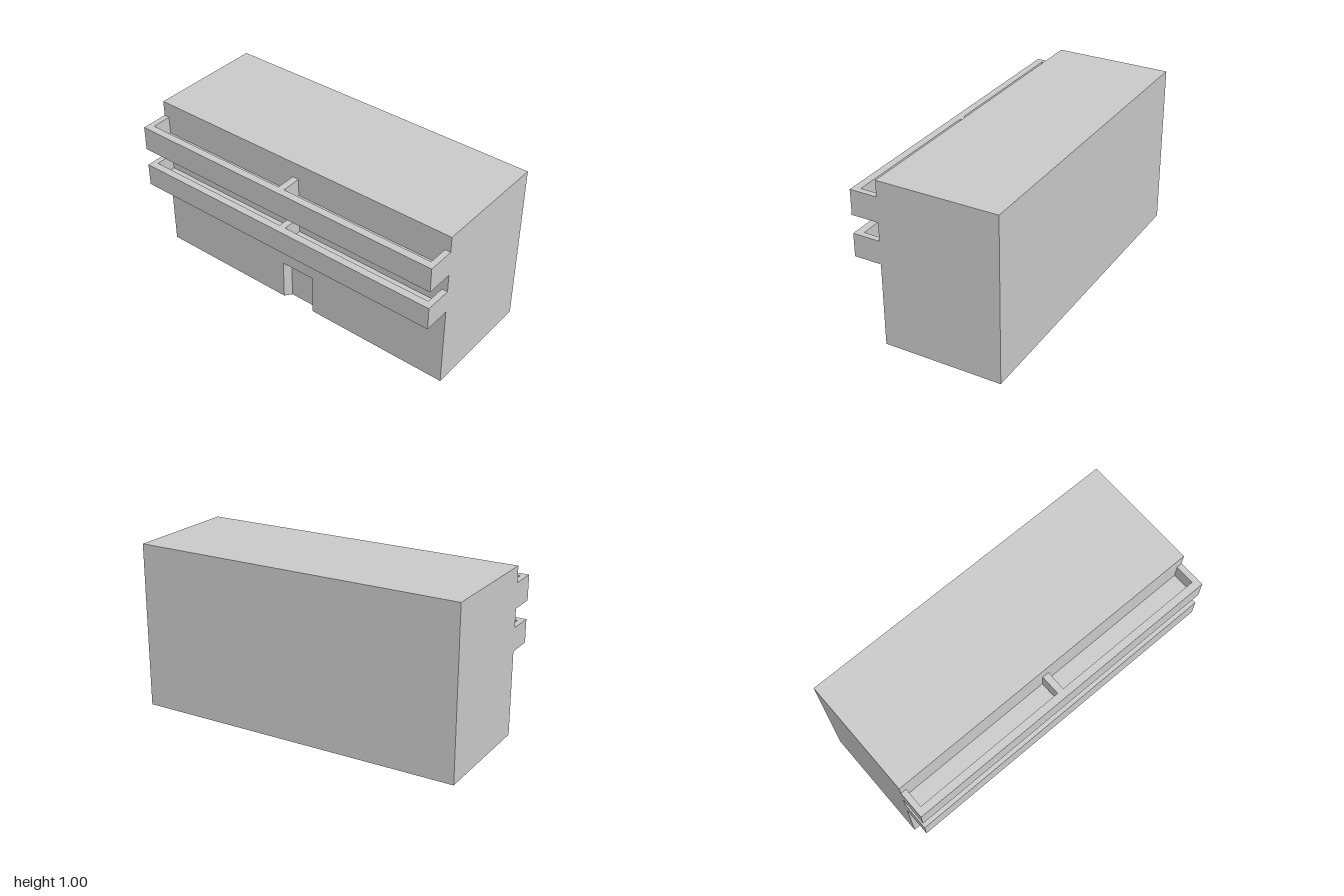
import * as THREE from 'three';

const X0 = -0.275, X1 = 0.44;            // main block, balcony side and plain side
const XB = -0.44, XP = -0.395;           // balcony outer face, pocket outer face
const POCKETS = [[-0.965, -0.025], [0.015, 0.965]]; // z ranges
const BALCONIES = [                      // underside, pocket floor, rim
  { base: 0.505, floor: 0.547, rim: 0.645 },
  { base: 0.755, floor: 0.797, rim: 0.905 },
];
const X = [1, 0, 0], Y = [0, 1, 0], Z = [0, 0, 1], NX = [-1, 0, 0];

const material = new THREE.MeshStandardMaterial({ color: 0xcccccc, flatShading: true, side: THREE.DoubleSide });

// Flat panel from a 2D outline, laid along axes u and v, offset along u x v
function panel(parent, name, points, u, v, offset) {
  const shape = new THREE.Shape(points.map(([a, b]) => new THREE.Vector2(a, b)));
  const U = new THREE.Vector3(...u), V = new THREE.Vector3(...v);
  const N = U.clone().cross(V);
  const geometry = new THREE.ShapeGeometry(shape);
  geometry.applyMatrix4(new THREE.Matrix4().makeBasis(U, V, N).setPosition(N.multiplyScalar(offset)));
  const mesh = new THREE.Mesh(geometry, material);
  mesh.name = name;
  parent.add(mesh);
}

const rect = (a0, b0, a1, b1) => [[a0, b0], [a1, b0], [a1, b1], [a0, b1]];

// Full-length strip whose inner edge steps to another level at each pocket
function comb(end, edge, step) {
  const points = [[-1, end], [-1, edge]];
  for (const [a, b] of POCKETS) points.push([a, edge], [a, step], [b, step], [b, edge]);
  points.push([1, edge], [1, end]);
  return points;
}

// Four-cornered face, corners counter-clockwise from its front
function quad(parent, name, corners) {
  const geometry = new THREE.BufferGeometry();
  geometry.setAttribute('position', new THREE.Float32BufferAttribute(corners.flat(), 3));
  geometry.setIndex([0, 1, 2, 0, 2, 3]);
  geometry.computeVertexNormals();
  const mesh = new THREE.Mesh(geometry, material);
  mesh.name = name;
  parent.add(mesh);
}

function addGroup(parent, name) {
  const group = new THREE.Group();
  group.name = name;
  parent.add(group);
  return group;
}

export function createModel() {
  const model = new THREE.Group();
  model.name = 'building';

  // Hollow main block, open underneath
  const block = addGroup(model, 'mainBlock');
  panel(block, 'roof', rect(-1, X0, 1, X1), Z, X, 1);
  panel(block, 'plainWall', rect(-1, 0, 1, 1), [0, 0, -1], Y, X1);

  // End walls follow the stepped balcony profile
  const profile = [[X1, 0], [X1, 1], [X0, 1]];
  for (const b of [...BALCONIES].reverse()) {
    profile.push([X0, b.rim], [XB, b.rim], [XB, b.base], [X0, b.base]);
  }
  profile.push([X0, 0]);
  panel(block, 'frontEndWall', profile, X, Y, 1);
  panel(block, 'backEndWall', profile.map(([x, y]) => [-x, y]), NX, Y, 1);

  // Balcony-side wall: lower part with a door notch, then a strip above each balcony
  const [d0, d1, dh] = [-0.113, 0.104, 0.25];
  panel(block, 'entranceWall', [[-1, 0], [d0, 0], [d0, dh], [d1, dh], [d1, 0], [1, 0],
    [1, BALCONIES[0].base], [-1, BALCONIES[0].base]], Z, Y, -X0);
  BALCONIES.forEach((b, i) => {
    const top = i + 1 < BALCONIES.length ? BALCONIES[i + 1].base : 1;
    panel(block, 'balconyWall', comb(top, b.rim, b.floor), Z, Y, -X0);
  });

  // Doorway with splayed sides narrowing to the recessed door
  const door = addGroup(model, 'doorway');
  const s = 0.03, xd = X0 + 0.04;
  const [e0, e1, eh] = [d0 + s, d1 - s, dh - s];
  panel(door, 'door', rect(e0, 0, e1, eh), Z, Y, -xd);
  quad(door, 'doorJamb', [[X0, 0, d0], [xd, 0, e0], [xd, eh, e0], [X0, dh, d0]]);
  quad(door, 'doorJamb', [[xd, 0, e1], [X0, 0, d1], [X0, dh, d1], [xd, eh, e1]]);
  quad(door, 'doorHead', [[X0, dh, d0], [xd, eh, e0], [xd, eh, e1], [X0, dh, d1]]);

  // Balconies: hollow trays, each with two pockets
  for (const { base, floor, rim } of BALCONIES) {
    const balcony = addGroup(model, 'balcony');
    panel(balcony, 'underside', rect(XB, -1, X0, 1), X, Z, -base);
    panel(balcony, 'parapet', rect(-1, base, 1, rim), Z, Y, -XB);
    panel(balcony, 'rim', comb(XB, X0, XP), Z, X, rim);
    for (const [a, b] of POCKETS) {
      panel(balcony, 'balconyFloor', rect(a, XP, b, X0), Z, X, floor);
      panel(balcony, 'parapetInside', rect(-b, floor, -a, rim), [0, 0, -1], Y, XP);
      panel(balcony, 'pocketSide', rect(XP, floor, X0, rim), X, Y, a);
      panel(balcony, 'pocketSide', rect(-X0, floor, -XP, rim), NX, Y, -b);
    }
  }
  return model;
}
